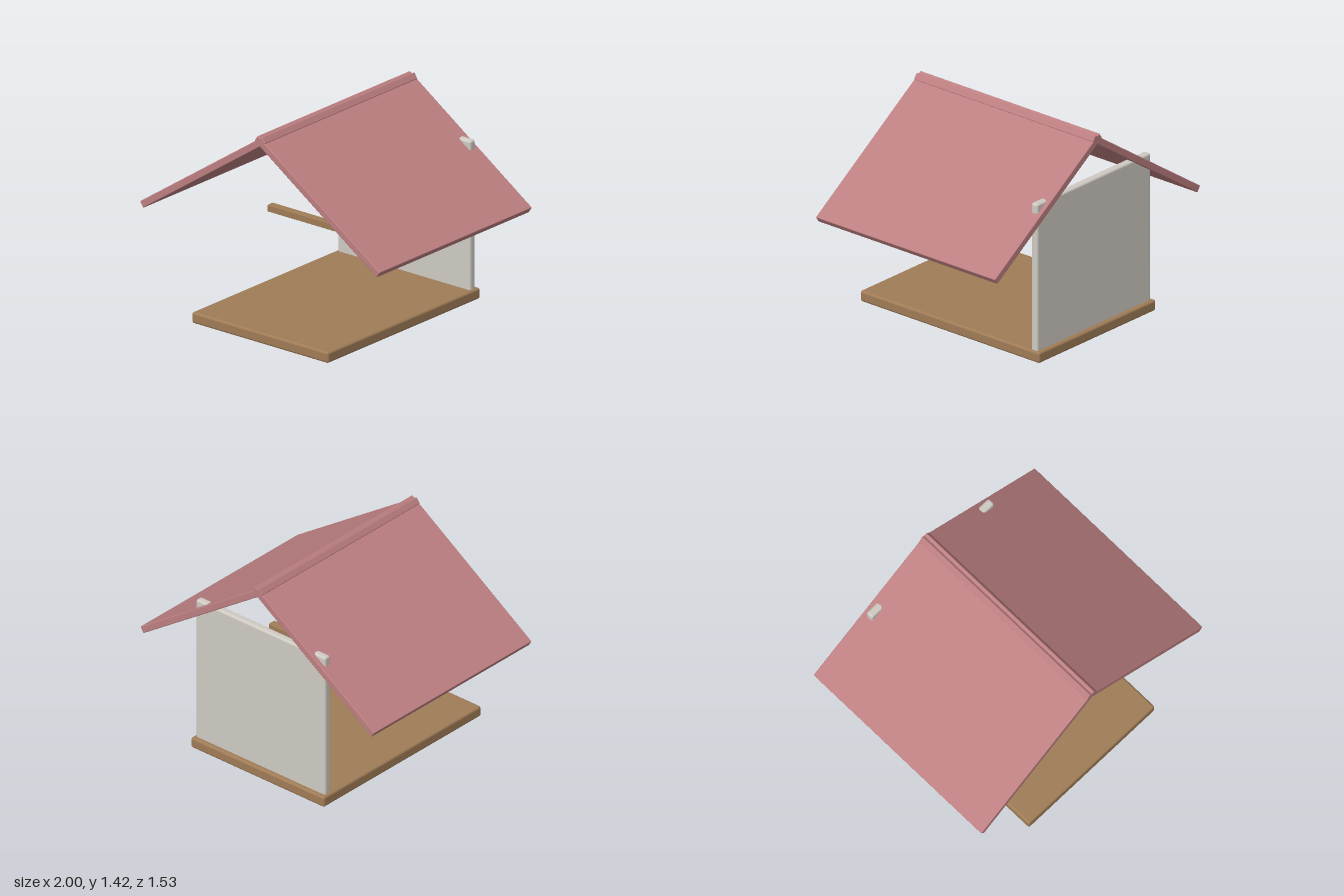
import * as THREE from 'three';
import { RoundedBoxGeometry } from 'three/addons/geometries/RoundedBoxGeometry.js';

export function createModel() {
  const group = new THREE.Group();
  const material = (name, color) => {
    const m = new THREE.MeshStandardMaterial({ color });
    m.name = name;
    return m;
  };
  const wood = material('brown wood', 0xa07c57);
  const plaster = material('pale grey', 0xcfcbc3);
  const roofPaint = material('dusty red', 0xbd7f81);

  // Softly bevelled board, placed by its centre
  const board = (name, mat, size, position, bevel) => {
    const mesh = new THREE.Mesh(new RoundedBoxGeometry(...size, 3, bevel), mat);
    mesh.name = name;
    mesh.position.set(...position);
    group.add(mesh);
    return mesh;
  };

  // Floor, back wall and crossbar
  board('floor', wood, [1.14, 0.076, 1.526], [0, 0.038, 0], 0.016);
  board('backWall', plaster, [1.108, 1.06, 0.054], [0, 0.57, -0.706], 0.016);
  board('perch', wood, [1.104, 0.046, 0.054], [0, 0.578, 0], 0.004);

  // Two sloping roof panels whose upper ends cross at the ridge
  for (const side of [1, -1]) {
    const panel = board(side > 0 ? 'leftRoofPanel' : 'rightRoofPanel', roofPaint,
      [1.232, 0.048, 1.526], [side * 0.478, 1.056, 0], 0.006);
    panel.rotation.z = -side * 0.594;
  }
  return group;
}
